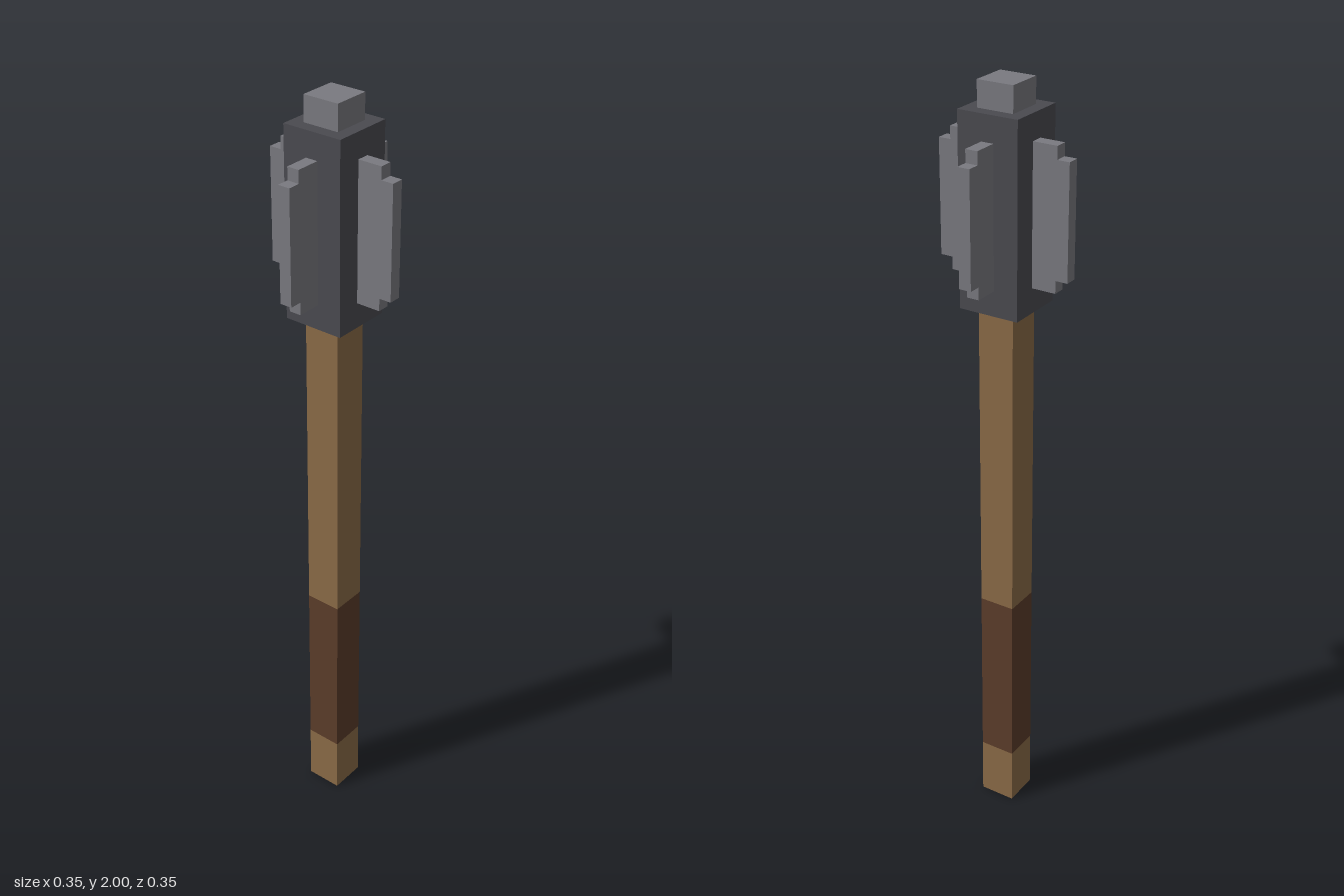
import * as THREE from 'three';

const U = 2 / 63; // one block unit; the mace is 63 units tall

function material(name, color) {
  const m = new THREE.MeshStandardMaterial({ color });
  m.name = name;
  return m;
}

export function createModel() {
  const wood = material('wood', 0x8b6b47);
  const leather = material('leather', 0x5c3d2a);
  const darkIron = material('darkIron', 0x4a4a50);
  const steel = material('steel', 0x7a7a80);

  const model = new THREE.Group();
  model.name = 'mace';

  // Square block centred on the axis, from y0 to y1 in units
  function block(name, width, y0, y1, mat) {
    const mesh = new THREE.Mesh(new THREE.BoxGeometry(width * U, (y1 - y0) * U, width * U), mat);
    mesh.name = name;
    mesh.position.y = (y0 + y1) / 2 * U;
    model.add(mesh);
  }

  // Shaft with leather grip
  block('pommelEnd', 3, 0, 5, wood);
  block('grip', 3, 5, 20, leather);
  block('shaft', 3, 20, 46, wood);

  // Head and top knob
  block('head', 5, 46, 61, darkIron);
  block('topKnob', 3, 61, 63, steel);

  // Four flanges with stepped outer corners
  const profile = [[2.5, 48], [4.5, 48], [4.5, 49], [5.5, 49], [5.5, 58], [4.5, 58], [4.5, 59], [2.5, 59]];
  const shape = new THREE.Shape(profile.map(([x, y]) => new THREE.Vector2(x * U, y * U)));
  const flangeGeometry = new THREE.ExtrudeGeometry(shape, { depth: U, bevelEnabled: false });
  flangeGeometry.translate(0, 0, -U / 2);
  ['left', 'back', 'right', 'front'].forEach((side, i) => {
    const flange = new THREE.Mesh(flangeGeometry, steel);
    flange.name = side + 'Flange';
    flange.rotation.y = i * Math.PI / 2;
    model.add(flange);
  });

  return model;
}
